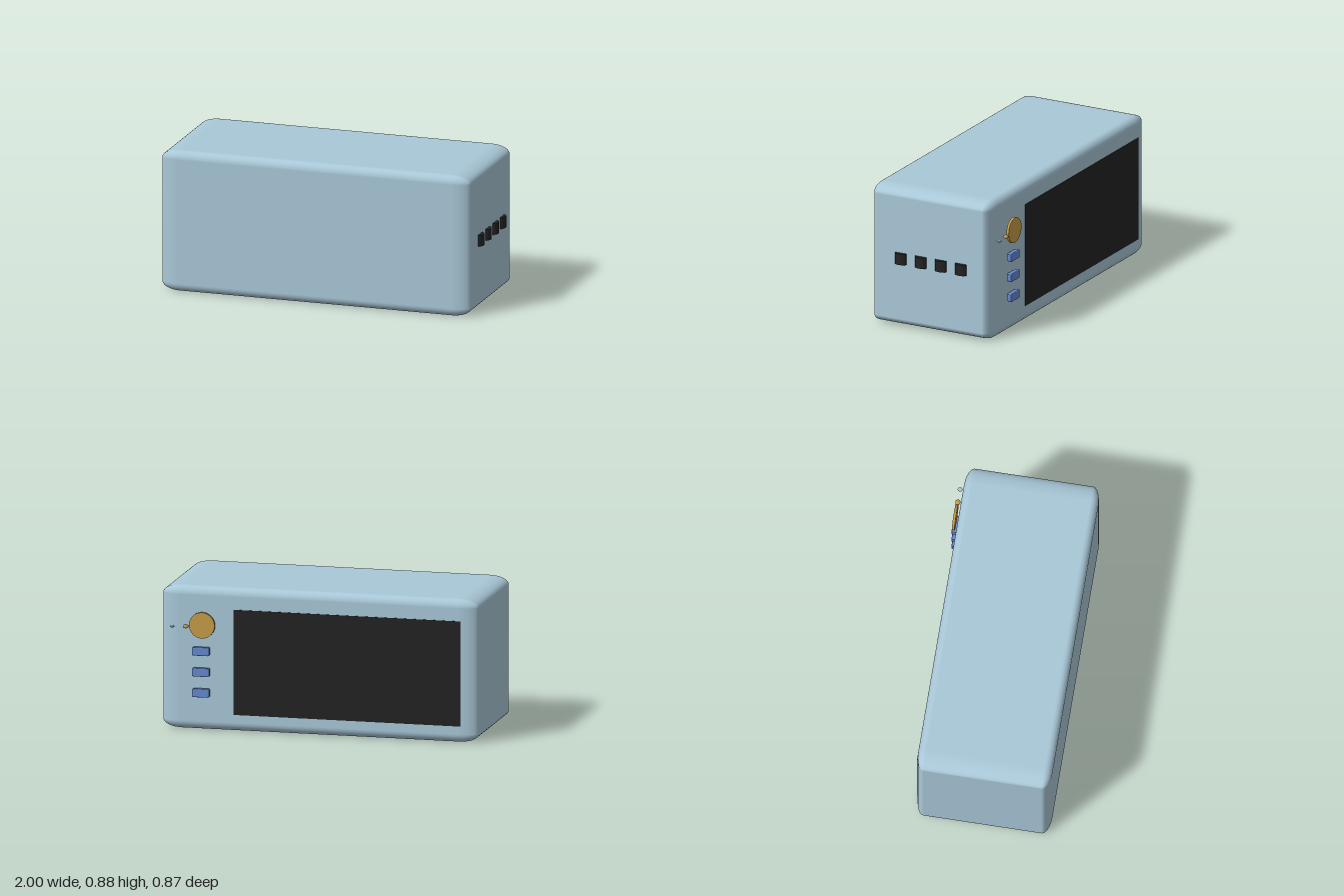
import * as THREE from 'three';
import { RoundedBoxGeometry } from 'three/addons/geometries/RoundedBoxGeometry.js';

const mat = (name, color) => {
  const m = new THREE.MeshStandardMaterial({ color });
  m.name = name;
  return m;
};

export function createModel() {
  const group = new THREE.Group();
  const shell = mat('pale blue shell', 0xa9c8d8);
  const black = mat('black', 0x232323);
  const blue = mat('button blue', 0x6488d0);
  const gold = mat('gold', 0xc69c48);

  const add = (name, geometry, material, x, y, z) => {
    const mesh = new THREE.Mesh(geometry, material);
    mesh.name = name;
    mesh.position.set(x, y, z);
    group.add(mesh);
    return mesh;
  };
  // Rounded unit cube stretched to size, so the rounding stretches with it
  const roundedBox = (w, h, d, r) => new RoundedBoxGeometry(1, 1, 1, 6, r).scale(w, h, d);
  const ellipsoid = (rx, ry, rz) => new THREE.SphereGeometry(1, 24, 16).scale(rx, ry, rz);

  // Main casing
  add('casing', roundedBox(1.975, 0.885, 0.825, 0.06), shell, -0.0125, 0.4445, 0.0225);

  // Display panel on the back face
  add('displayPanel', new THREE.BoxGeometry(1.42, 0.65, 0.008), black, -0.187, 0.43, -0.39);

  // Control column: dial above three buttons
  const backZ = -0.42;
  add('dial', new THREE.CylinderGeometry(0.08, 0.08, 0.016, 48).rotateX(Math.PI / 2),
    gold, 0.713, 0.655, backZ);
  for (const y of [0.494, 0.365, 0.237]) {
    add('button', roundedBox(0.107, 0.052, 0.032, 0.12), blue, 0.719, y, backZ);
  }

  // Small studs beside the dial
  add('goldStud', ellipsoid(0.017, 0.011, 0.016), gold, 0.815, 0.643, backZ);
  add('paleStud', ellipsoid(0.013, 0.007, 0.016), shell, 0.9, 0.64, backZ);

  // Row of half-round knobs on the end face
  for (let i = 0; i < 4; i++) {
    const knob = new THREE.CylinderGeometry(1, 1, 0.07, 32).scale(0.025, 1, 0.039);
    add('sideKnob', knob, black, 0.975, 0.445, 0.219 - i * 0.139);
  }
  return group;
}
